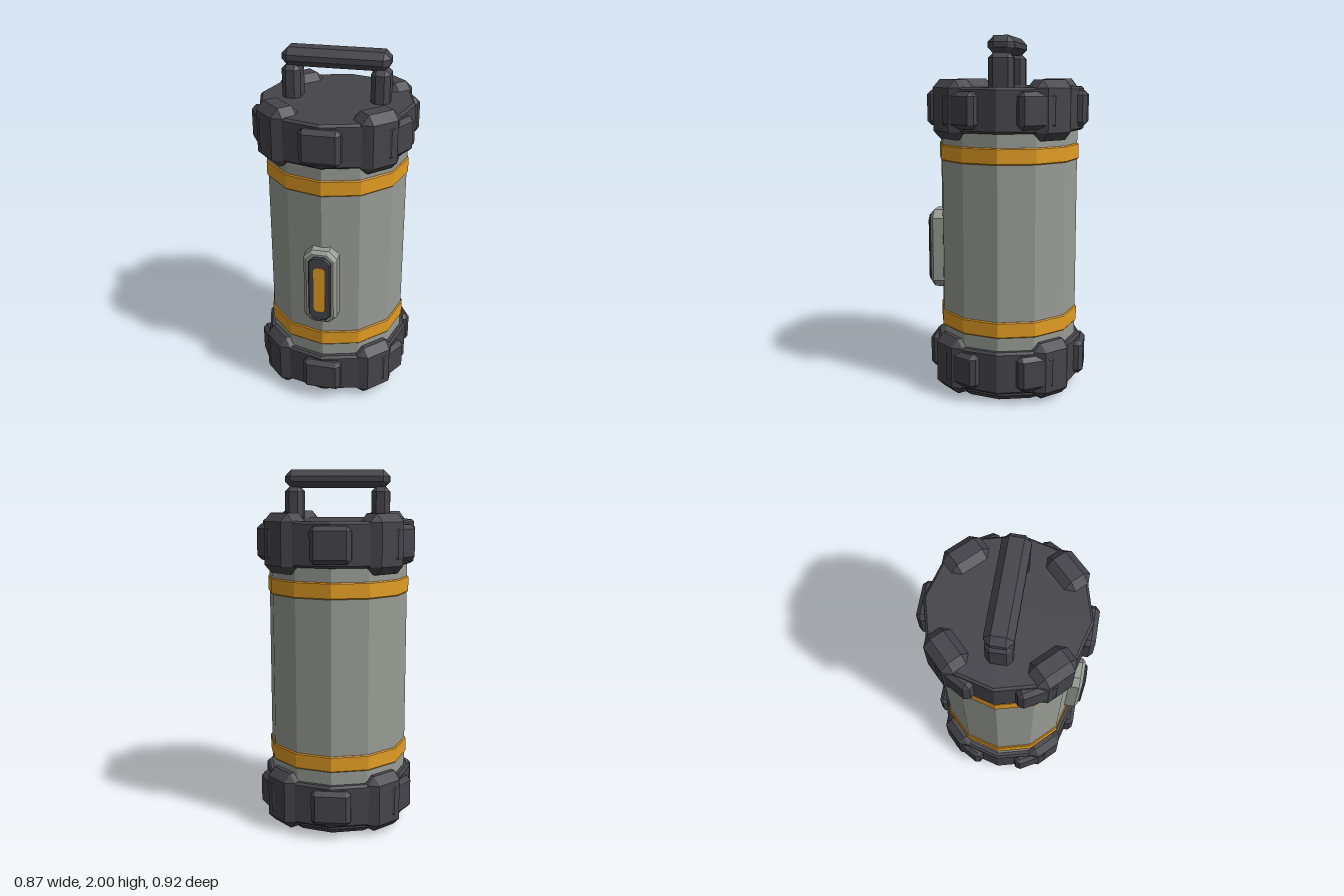
import * as THREE from 'three';
import { ConvexGeometry } from 'three/addons/geometries/ConvexGeometry.js';

const SIDES = 12;

function makeMaterial(name, color) {
  const m = new THREE.MeshStandardMaterial({ color, flatShading: true });
  m.name = name;
  return m;
}

// Box with every edge cut at 45 degrees
function chamferBox(w, h, d, c) {
  const x = w / 2, y = h / 2, z = d / 2, pts = [];
  for (const sx of [-1, 1]) for (const sy of [-1, 1]) for (const sz of [-1, 1]) {
    pts.push(new THREE.Vector3(sx * x, sy * (y - c), sz * (z - c)));
    pts.push(new THREE.Vector3(sx * (x - c), sy * y, sz * (z - c)));
    pts.push(new THREE.Vector3(sx * (x - c), sy * (y - c), sz * z));
  }
  return new ConvexGeometry(pts);
}

// Upright octagonal plate with its front at z = depth
function plate(w, h, depth, corner, bevel) {
  const pts = [];
  const ring = (x, y, c, z) => {
    for (const sx of [-1, 1]) for (const sy of [-1, 1]) {
      pts.push(new THREE.Vector3(sx * x, sy * (y - c), z));
      pts.push(new THREE.Vector3(sx * (x - c), sy * y, z));
    }
  };
  ring(w / 2, h / 2, corner, 0);
  if (bevel) ring(w / 2, h / 2, corner, depth - bevel);
  ring(w / 2 - bevel, h / 2 - bevel, corner - bevel * 0.58, depth);
  return new ConvexGeometry(pts);
}

// Faceted solid of revolution, profile listed from bottom to top
function turned(profile) {
  return new THREE.LatheGeometry(profile.map(([r, y]) => new THREE.Vector2(r, y)), SIDES);
}

export function createModel() {
  const dark = makeMaterial('charcoal', 0x45444a);
  const grey = makeMaterial('warm grey', 0x999d95);
  const orange = makeMaterial('amber', 0xe39d24);

  const model = new THREE.Group();
  model.name = 'canister';
  const body = new THREE.Group();
  body.name = 'canisterBody';
  body.position.z = -0.007;
  model.add(body);

  const add = (parent, name, geometry, material, x = 0, y = 0, z = 0) => {
    const mesh = new THREE.Mesh(geometry, material);
    mesh.name = name;
    mesh.position.set(x, y, z);
    parent.add(mesh);
    return mesh;
  };

  // Barrel and its two bands
  add(body, 'barrel', turned([[0, 0.2], [0.393, 0.2], [0.393, 1.6], [0, 1.6]]), grey);
  for (const [name, y] of [['lowerBand', 0.42], ['upperBand', 1.37]]) {
    add(body, name, turned([[0.385, -0.045], [0.396, -0.045], [0.401, -0.039],
      [0.401, 0.039], [0.396, 0.045], [0.385, 0.045]]), orange, 0, y);
  }

  // Foot under the lower cap
  add(body, 'foot', turned([[0, 0], [0.342, 0], [0.37, 0.03], [0.37, 0.09], [0, 0.09]]), dark);

  // End caps with four corner lugs and six grip pads each
  const lugGeometry = chamferBox(0.24, 0.32, 0.165, 0.044);
  const padGeometry = chamferBox(0.22, 0.196, 0.1, 0.024);
  for (const [name, y] of [['lowerCap', 0.18], ['upperCap', 1.61]]) {
    const cap = new THREE.Group();
    cap.name = name;
    cap.position.y = y;
    body.add(cap);
    add(cap, 'capRing', turned([[0, -0.12], [0.414, -0.12], [0.427, -0.108],
      [0.427, 0.108], [0.414, 0.12], [0, 0.12]]), dark);
    const around = (label, geometry, count, start, r) => {
      for (let i = 0; i < count; i++) {
        const a = start + (i / count) * Math.PI * 2;
        add(cap, label, geometry, dark, Math.sin(a) * r, 0, Math.cos(a) * r).rotation.y = a;
      }
    };
    around('cornerLug', lugGeometry, 4, Math.PI / 4, 0.3675);
    around('gripPad', padGeometry, 6, 0, 0.4);
  }

  // Carrying handle
  const handle = new THREE.Group();
  handle.name = 'handle';
  body.add(handle);
  for (const side of [-1, 1]) {
    add(handle, side > 0 ? 'leftPost' : 'rightPost',
      chamferBox(0.102, 0.24, 0.138, 0.028), dark, side * 0.241, 1.79);
  }
  add(handle, 'grip', chamferBox(0.582, 0.1, 0.145, 0.035), dark, 0, 1.95);

  // Switch panel on the front
  const panel = new THREE.Group();
  panel.name = 'switchPanel';
  panel.position.set(0, 0.79, 0.36);
  model.add(panel);
  add(panel, 'panelBase', plate(0.186, 0.46, 0.08, 0.045, 0.018), grey);
  add(panel, 'switchFrame', plate(0.124, 0.4, 0.095, 0.03, 0.006), dark);
  add(panel, 'indicator', plate(0.062, 0.28, 0.006, 0.012, 0), orange, 0, 0, 0.0925);

  return model;
}
